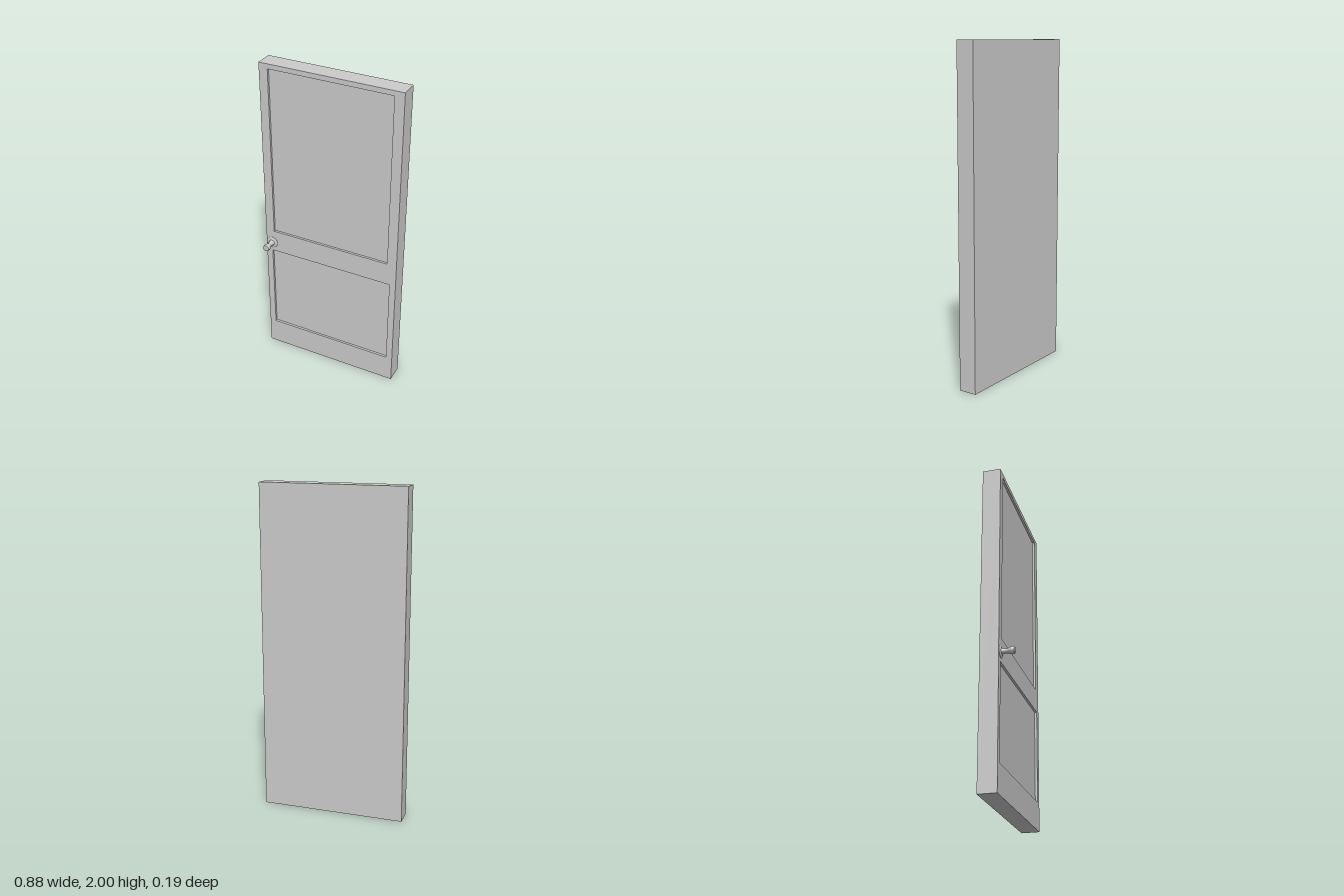
import * as THREE from 'three';

const W = 0.88, H = 2, BACK = -0.1, FRONT = 0.01, RECESS = 0.014;

function rectangle(target, x0, y0, x1, y1) {
  target.moveTo(x0, y0);
  target.lineTo(x1, y0);
  target.lineTo(x1, y1);
  target.lineTo(x0, y1);
  target.closePath();
  return target;
}

export function createModel() {
  const door = new THREE.Group();
  door.name = 'door';
  const material = new THREE.MeshStandardMaterial({ color: 0xcccccc });
  const add = (parent, name, geometry) => {
    const mesh = new THREE.Mesh(geometry, material);
    mesh.name = name;
    parent.add(mesh);
    return mesh;
  };

  // Solid slab; its front face forms the floor of the sunken panels
  const slabDepth = FRONT - RECESS - BACK;
  add(door, 'slab', new THREE.BoxGeometry(W, H, slabDepth))
    .position.set(0, H / 2, BACK + slabDepth / 2);

  // Stiles and rails around the two panels
  const outline = rectangle(new THREE.Shape(), -W / 2, 0, W / 2, H);
  outline.holes.push(
    rectangle(new THREE.Path(), -0.385, 0.89, 0.38, 1.97),
    rectangle(new THREE.Path(), -0.4, 0.17, 0.4, 0.745),
  );
  add(door, 'frame', new THREE.ExtrudeGeometry(outline, { depth: RECESS, bevelEnabled: false }))
    .position.z = FRONT - RECESS;

  // Doorknob: turned profiles with the axis along +z
  const knob = new THREE.Group();
  knob.name = 'doorknob';
  knob.position.set(-0.4, 0.805, FRONT);
  knob.rotation.x = Math.PI / 2;
  door.add(knob);

  const points = (list) => list.map(([r, z]) => new THREE.Vector2(r, z));
  add(knob, 'rosette', new THREE.LatheGeometry(
    points([[0.037, 0], [0.037, 0.002], [0.033, 0.004], [0.026, 0.005], [0.022, 0.008], [0, 0.008]]), 32));

  // Waisted stem flaring into the grip
  const side = new THREE.SplineCurve(points(
    [[0.019, 0.006], [0.015, 0.018], [0.013, 0.034], [0.016, 0.048], [0.021, 0.06], [0.022, 0.068], [0.02, 0.08]]));
  add(knob, 'grip', new THREE.LatheGeometry(side.getPoints(24), 32));
  add(knob, 'gripEnd', new THREE.LatheGeometry(points([[0.02, 0.08], [0.018, 0.083], [0, 0.083]]), 32));

  return door;
}
